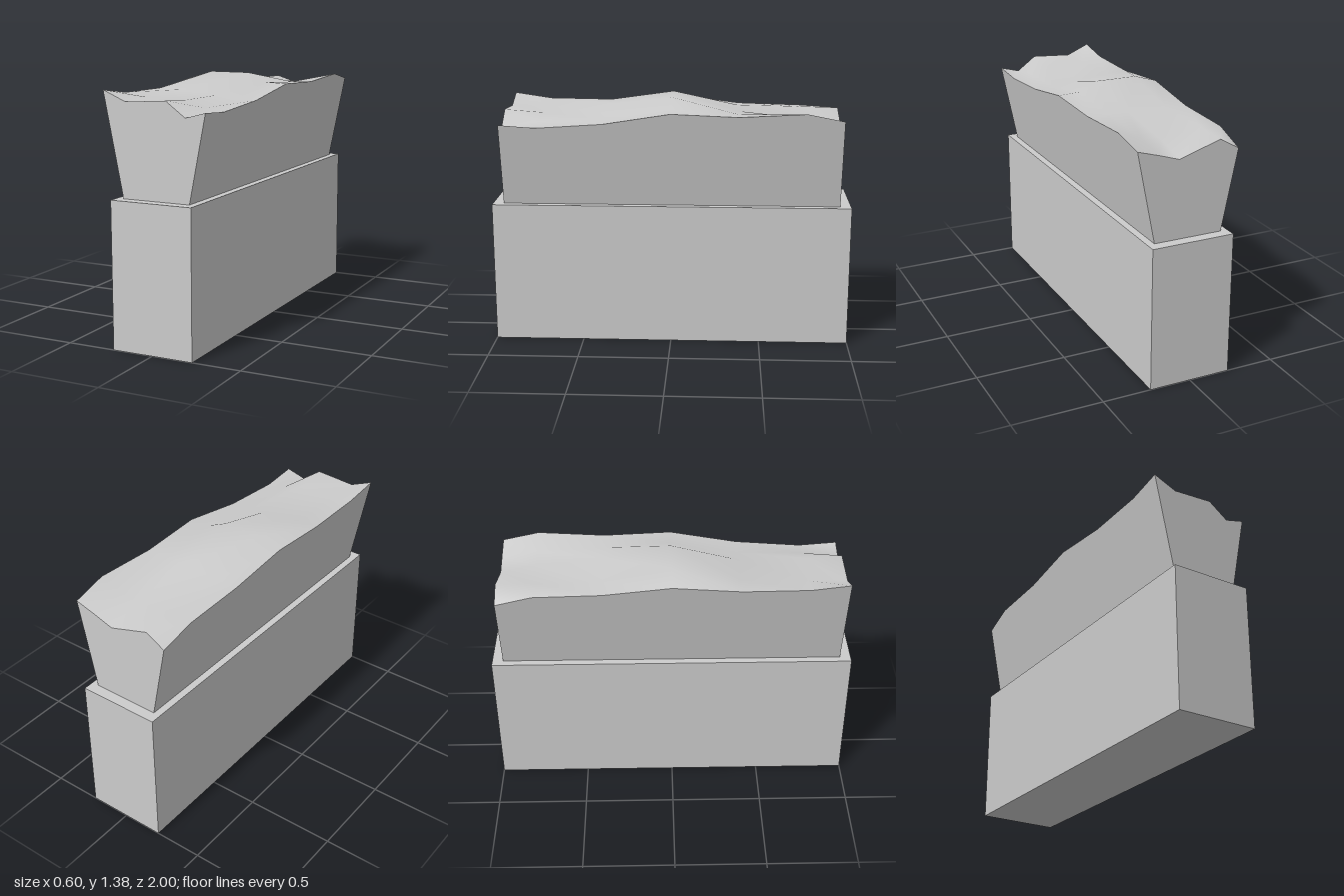
import * as THREE from 'three';
import { mergeGeometries } from 'three/addons/utils/BufferGeometryUtils.js';

const BASE_Y = 0.79;
const FOOT = 0.19;   // half width of the hedge where it meets the planter
const FLARE = 0.2;   // outward lean of the long sides

// Hedge height: rows run front to back, columns run from -x to +x
const rowZ = [0.94, 0.73, 0.37, 0, -0.37, -0.74, -0.94];
const colX = [-1, -0.17, 0.06, 0.17, 1]; // outer columns follow the flare
const heights = [
  [1.34, 1.285, 1.30, 1.22, 1.25],
  [1.31, 1.29, 1.285, 1.25, 1.235],
  [1.305, 1.30, 1.28, 1.26, 1.26],
  [1.336, 1.375, 1.375, 1.325, 1.32],
  [1.29, 1.296, 1.30, 1.30, 1.305],
  [1.28, 1.29, 1.26, 1.28, 1.325],
  [1.224, 1.285, 1.214, 1.25, 1.285],
];

// Surface through rows of points; the front face is (along a row) x (row to row)
function gridSurface(rows) {
  const n = rows[0].length;
  const index = [];
  for (let i = 0; i < rows.length - 1; i++) {
    for (let j = 0; j < n - 1; j++) {
      const a = i * n + j;
      index.push(a, a + 1, a + n + 1, a, a + n + 1, a + n);
    }
  }
  const geometry = new THREE.BufferGeometry().setFromPoints(rows.flat());
  geometry.setIndex(index);
  geometry.computeVertexNormals();
  return geometry;
}

function hedgeGeometry() {
  const top = heights.map((row, i) => row.map((y, j) => {
    const edge = FOOT + FLARE * (y - BASE_Y);
    const x = Math.abs(colX[j]) === 1 ? colX[j] * edge : colX[j];
    return new THREE.Vector3(x, y, rowZ[i]);
  }));
  const last = colX.length - 1;

  // Edges of the top, running counter-clockwise from the front
  const edges = [
    top[0],
    top.map(row => row[last]),
    [...top[top.length - 1]].reverse(),
    top.map(row => row[0]).reverse(),
  ];
  const walls = edges.map(edge => {
    const foot = edge.map(p => new THREE.Vector3(
      THREE.MathUtils.clamp(p.x, -FOOT, FOOT), BASE_Y, p.z));
    return gridSurface([foot, edge]);
  });
  // Underside closes the body
  const corner = (x, z) => new THREE.Vector3(x * FOOT, BASE_Y, z * 0.94);
  const underside = gridSurface([
    [corner(-1, -1), corner(1, -1)],
    [corner(-1, 1), corner(1, 1)],
  ]);
  return mergeGeometries([gridSurface(top), ...walls, underside]);
}

export function createModel() {
  const group = new THREE.Group();
  const material = new THREE.MeshStandardMaterial({ color: 0xcccccc });

  // Long rectangular planter
  const planter = new THREE.Mesh(new THREE.BoxGeometry(0.46, BASE_Y, 2), material);
  planter.name = 'planter';
  planter.position.y = BASE_Y / 2;

  // Flared hedge with an uneven, softly shaded top
  const hedge = new THREE.Mesh(hedgeGeometry(), material);
  hedge.name = 'hedge';

  group.add(planter, hedge);
  return group;
}
